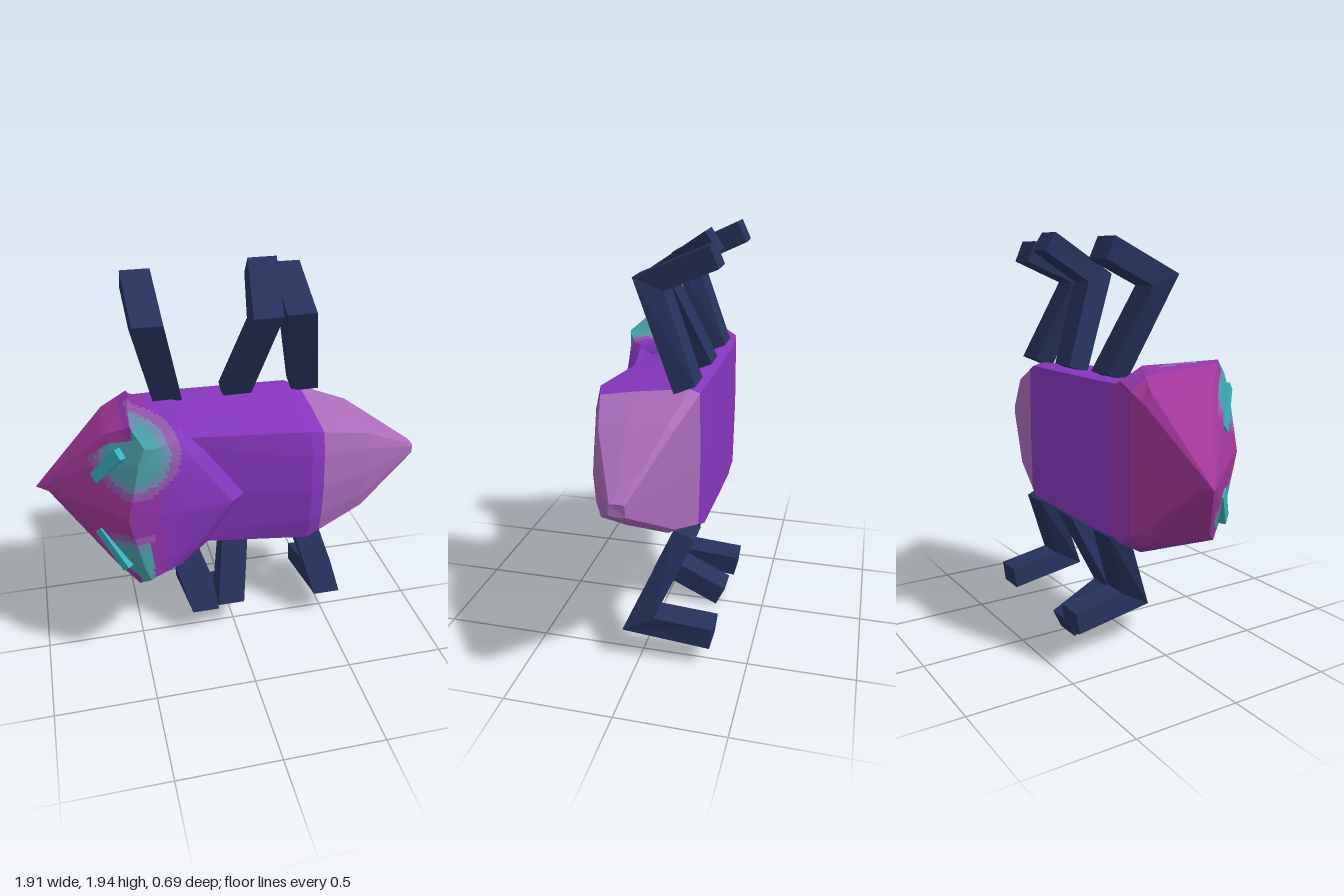
import * as THREE from 'three';
import { toCreasedNormals } from 'three/addons/utils/BufferGeometryUtils.js';

const MID = 0.967; // height of the body axis

const mat = (name, color, double) => {
  const m = new THREE.MeshStandardMaterial({ color });
  m.name = name;
  if (double) m.side = THREE.DoubleSide;
  return m;
};

// Half sections [x, height above axis, z], running from the front midline over the side to the back midline
const tip = Array.from({ length: 7 }, () => [-0.96, -0.03, -0.11]);
const cheek = [[-0.66, 0, 0.23], [-0.64, 0.24, 0.19], [-0.6, 0.3, 0.21], [-0.62, 0.355, 0.15],
  [-0.61, 0.33, -0.18], [-0.62, 0.27, -0.21], [-0.62, 0, -0.215]];
const crest = [[-0.56, 0, 0.345], [-0.5, 0.28, 0.335], [-0.47, 0.355, 0.33], [-0.52, 0.425, 0.25],
  [-0.49, 0.42, -0.14], [-0.48, 0.36, -0.245], [-0.48, 0, -0.25]];
const neck = [[-0.55, 0, 0.345], [-0.49, 0.28, 0.335], [-0.45, 0.345, 0.325], [-0.46, 0.355, 0.25],
  [-0.46, 0.355, -0.2], [-0.45, 0.345, -0.25], [-0.45, 0, -0.255]];
const shield = [[-0.07, 0, 0.285], [-0.24, 0.24, 0.275], [-0.31, 0.335, 0.26], [-0.32, 0.355, 0.2],
  [-0.32, 0.355, -0.2], [-0.32, 0.345, -0.255], [-0.32, 0, -0.26]];
const shieldEnd = [[0, 0, 0.225], [-0.18, 0.25, 0.225], [-0.26, 0.335, 0.21], [-0.28, 0.355, 0.15],
  [-0.27, 0.355, -0.2], [-0.27, 0.345, -0.26], [-0.27, 0, -0.26]];
const waist = [[-0.08, 0, 0.2], [-0.21, 0.23, 0.165], [-0.25, 0.29, 0.155], [-0.25, 0.32, 0.05],
  [-0.25, 0.353, -0.2], [-0.25, 0.345, -0.26], [-0.25, 0, -0.26]];
const belly = [[0.32, 0, 0.28], [0.32, 0.18, 0.265], [0.32, 0.295, 0.24], [0.32, 0.325, 0.05],
  [0.32, 0.355, -0.2], [0.32, 0.34, -0.25], [0.32, 0, -0.255]];
const rump = [[0.63, 0, 0.18], [0.63, 0.13, 0.17], [0.63, 0.205, 0.15], [0.63, 0.23, 0.03],
  [0.62, 0.25, -0.15], [0.62, 0.23, -0.18], [0.62, 0, -0.185]];
const tail = [[0.95, 0, 0.01], [0.95, 0.018, 0.01], [0.95, 0.025, 0.005], [0.95, 0.028, -0.02],
  [0.95, 0.028, -0.05], [0.95, 0.025, -0.06], [0.95, 0, -0.06]];
const tailCap = Array.from({ length: 7 }, () => [0.945, 0, -0.025]);

// Colour index: tail, bands along the body and rings around each eye
function paint(p, u, side) {
  const [x, h, z] = p;
  if (x > 0.39) return 1;
  const allowed = x < -0.5 ? u < 2.4 || x > -0.515 : (side > 0 || x < -0.455);
  if (allowed && z > -0.2) {
    const d = Math.hypot((x + 0.53) * (x < -0.53 ? 1 : 0.85), h - 0.29, (z - 0.28) * 0.45);
    if (d < 0.12) return 4;
    if (d < 0.155) return 5;
    if (d < 0.195) return 6;
  }
  if (x < -0.54) return 2;
  return x < -0.4 ? 3 : 0;
}

// Mirrored loft through the half sections, finely divided so colour borders stay clean
function loft(name, sections, materials, n = 14) {
  const buckets = materials.map(() => []);
  const mix = (a, b, t) => a.map((v, i) => v + (b[i] - v) * t);
  const at = (s, u, a, b) => mix(
    mix(sections[s][u], sections[s][u + 1], b),
    mix(sections[s + 1][u], sections[s + 1][u + 1], b), a);
  for (const side of [1, -1])
    for (let s = 0; s < sections.length - 1; s++)
      for (let u = 0; u < 6; u++)
        for (let i = 0; i < n; i++)
          for (let j = 0; j < n; j++) {
            const q = [[i, j], [i + 1, j], [i + 1, j + 1], [i, j + 1]].map(([a, b]) => at(s, u, a / n, b / n));
            const index = paint(at(s, u, (i + 0.5) / n, (j + 0.5) / n), u + (j + 0.5) / n, side);
            for (const tri of [[q[0], q[1], q[2]], [q[0], q[2], q[3]]]) {
              const [A, B, C] = tri.map(p => new THREE.Vector3(...p));
              if (B.sub(A).cross(C.sub(A)).length() < 1e-9) continue;
              if (side < 0) tri.reverse();
              // the head tip sits a little below the axis on both halves
              for (const [x, h, z] of tri) buckets[index].push(x, MID + (h < 0 ? h : h * side), z);
            }
          }
  const g = new THREE.BufferGeometry();
  g.setAttribute('position', new THREE.Float32BufferAttribute(buckets.flat(), 3));
  let start = 0;
  buckets.forEach((b, i) => {
    if (b.length) g.addGroup(start, b.length / 3, i);
    start += b.length / 3;
  });
  const mesh = new THREE.Mesh(toCreasedNormals(g, 0.45), materials);
  mesh.name = name;
  return mesh;
}

// Bent leg: a rectangular bar through hip, knee and foot, each [x, y, z]
function leg(name, points, material) {
  const P = points.map(p => new THREE.Vector3(...p));
  const flat = (a, b) => new THREE.Vector3(0, b.y - a.y, b.z - a.z).normalize();
  const d0 = flat(P[0], P[1]), d1 = flat(P[1], P[2]);
  const turn = d => new THREE.Vector3(0, -d.z, d.y);
  const n0 = turn(d0), n1 = turn(d1);
  const miter = n0.clone().add(n1).normalize();
  const across = [n0, miter.divideScalar(Math.max(0.6, miter.dot(n0))), n1];
  const rings = P.map((p, i) => [[-1, -1], [1, -1], [1, 1], [-1, 1]].map(([a, b]) =>
    p.clone().addScaledVector(across[i], b * 0.052).add(new THREE.Vector3(a * 0.07, 0, 0))));
  const v = [];
  const quad = (a, b, c, d) => [a, b, c, a, c, d].forEach(p => v.push(p.x, p.y, p.z));
  for (let i = 0; i < 2; i++)
    for (let k = 0; k < 4; k++) {
      const m = (k + 1) % 4;
      quad(rings[i][k], rings[i][m], rings[i + 1][m], rings[i + 1][k]);
    }
  quad(...rings[0].slice().reverse());
  quad(...rings[2]);
  const g = new THREE.BufferGeometry();
  g.setAttribute('position', new THREE.Float32BufferAttribute(v, 3));
  g.computeVertexNormals();
  const mesh = new THREE.Mesh(g, material);
  mesh.name = name;
  return mesh;
}

export function createModel() {
  const model = new THREE.Group();
  model.name = 'beetle';
  const skin = [
    mat('purple shell', 0x8636be), mat('pale tail', 0xaa6cba), mat('magenta head', 0xa4389c),
    mat('plum band', 0x9034a8), mat('teal patch', 0x48a0a8), mat('grey teal ring', 0x6c8cac),
    mat('mauve ring', 0x9458ac),
  ];
  const navy = mat('navy legs', 0x26325c, true);
  const cyan = mat('cyan eyes', 0x36b4bc);

  // Body
  model.add(
    loft('head', [tip, cheek, crest, neck], skin),
    loft('thorax', [neck, shield, shieldEnd], skin),
    loft('abdomen', [shieldEnd, waist, belly, rump, tail, tailCap], skin));

  // Slanted eye bars on the face
  for (const s of [1, -1]) {
    const along = new THREE.Vector3(0.11, 0.17 * s, 0.11).normalize();
    const out = new THREE.Vector3(-0.74, 0.17 * s, 0.65);
    const wide = along.clone().cross(out).normalize();
    out.crossVectors(wide, along);
    const eye = new THREE.Mesh(new THREE.BoxGeometry(0.055, 0.23, 0.035), cyan);
    eye.quaternion.setFromRotationMatrix(new THREE.Matrix4().makeBasis(wide, along, out));
    eye.position.set(-0.625, MID + 0.225 * s, 0.212);
    eye.name = s > 0 ? 'upperEye' : 'lowerEye';
    model.add(eye);
  }

  // Three legs on each side: hip x, knee x, foot x, foot y, foot z
  const upper = [[-0.29, -0.395, -0.4, 1.88, -0.285], [0.05, 0.15, 0.19, 1.915, -0.25], [0.4, 0.305, 0.315, 1.87, -0.285]];
  const lower = [[-0.3, -0.165, -0.19, 0.155, -0.335], [0.05, -0.025, -0.03, 0.06, -0.285], [0.38, 0.51, 0.485, 0.155, -0.335]];
  upper.forEach(([a, b, c, y, z], i) =>
    model.add(leg('upperLeg' + (i + 1), [[a, 1.32, -0.185], [b, 1.745, 0], [c, y, z]], navy)));
  lower.forEach(([a, b, c, y, z], i) =>
    model.add(leg('lowerLeg' + (i + 1), [[a, 0.62, -0.185], [b, 0.2, 0.005], [c, y, z]], navy)));
  return model;
}
